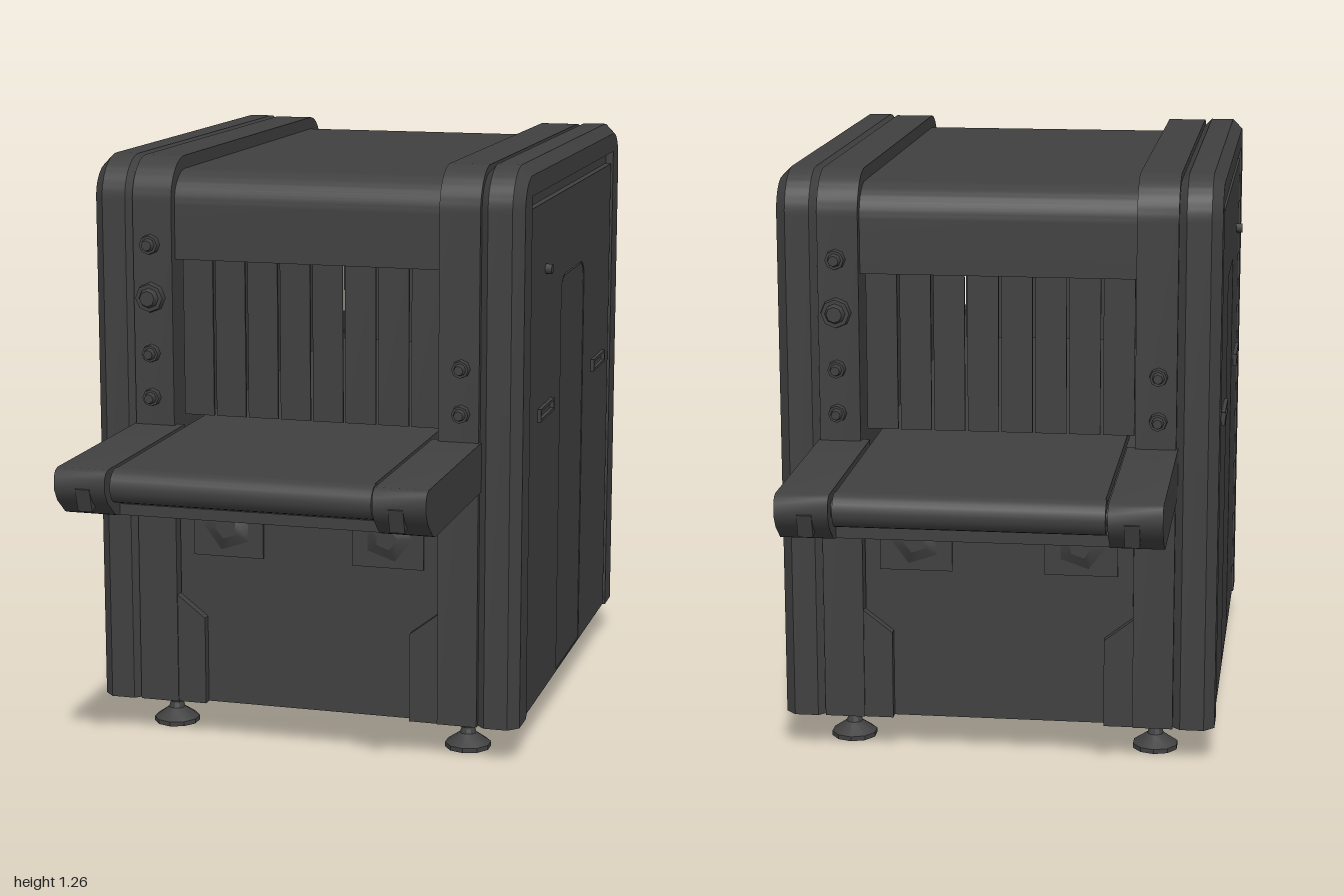
import * as THREE from 'three';
import { toCreasedNormals } from 'three/addons/utils/BufferGeometryUtils.js';

const dark = new THREE.MeshStandardMaterial({ color: 0x404040 });

function add(parent, name, geometry, x = 0, y = 0, z = 0) {
  const mesh = new THREE.Mesh(geometry, dark);
  mesh.name = name;
  mesh.position.set(x, y, z);
  parent.add(mesh);
  return mesh;
}

// Box given by its extents on each axis
function box(parent, name, [x0, x1], [y0, y1], [z0, z1]) {
  return add(parent, name, new THREE.BoxGeometry(x1 - x0, y1 - y0, z1 - z0),
    (x0 + x1) / 2, (y0 + y1) / 2, (z0 + z1) / 2);
}

const polygon = (points) => new THREE.Shape(points.map(([a, b]) => new THREE.Vector2(a, b)));

// Shape in (z, y) extruded along x from x0 to x1, with an optional chamfer
function extrudeX(shape, x0, x1, bevel = 0) {
  const g = new THREE.ExtrudeGeometry(shape, {
    depth: x1 - x0 - 2 * bevel, curveSegments: 8, bevelEnabled: bevel > 0,
    bevelSize: bevel, bevelThickness: bevel, bevelOffset: -bevel, bevelSegments: 1,
  });
  g.rotateY(-Math.PI / 2).translate(x1 - bevel, 0, 0);
  return g;
}

// Outline with rounded upper corners
function roundedTop(z0, z1, y0, y1, r, C = THREE.Shape) {
  const s = new C();
  s.moveTo(z0, y0);
  s.lineTo(z1, y0);
  s.lineTo(z1, y1 - r);
  s.absarc(z1 - r, y1 - r, r, 0, Math.PI / 2);
  s.lineTo(z0 + r, y1);
  s.absarc(z0 + r, y1 - r, r, Math.PI / 2, Math.PI);
  s.closePath();
  return s;
}

// Chamfered arch around the side panel; the inner and bottom edges stay square
function archGeometry() {
  const s = new THREE.Shape();
  s.moveTo(0.46, 0.08);
  s.lineTo(0.55, 0.08);
  s.lineTo(0.55, 1.175);
  s.absarc(0.46, 1.175, 0.09, 0, Math.PI / 2);
  s.lineTo(-0.46, 1.265);
  s.absarc(-0.46, 1.175, 0.09, Math.PI / 2, Math.PI);
  s.lineTo(-0.55, 0.08);
  s.lineTo(-0.46, 0.08);
  s.lineTo(-0.46, 1.2);
  s.lineTo(0.46, 1.2);
  s.closePath();
  const g = extrudeX(s, 0.37, 0.465, 0.022);
  const p = g.attributes.position;
  for (let i = 0; i < p.count; i++) {
    const y = p.getY(i), z = p.getZ(i);
    if (Math.abs(z) < 0.5 && y < 1.23) {
      p.setZ(i, Math.sign(z) * 0.46);
      if (y > 1) p.setY(i, 1.2);
    }
    if (y < 0.12) p.setY(i, 0.08);
  }
  g.deleteAttribute('normal');
  g.computeVertexNormals();
  return toCreasedNormals(g, 0.5);
}

function button(parent, x, y, z, r) {
  const dir = Math.sign(z);
  const ring = new THREE.CylinderGeometry(r, r * 1.1, 0.016, 8).rotateX(dir * Math.PI / 2);
  const cap = new THREE.CylinderGeometry(r * 0.55, r * 0.75, 0.014, 8).rotateX(dir * Math.PI / 2);
  add(parent, 'buttonRing', ring, x, y, z + dir * 0.006);
  add(parent, 'buttonCap', cap, x, y, z + dir * 0.019);
}

// Everything on the +x side of the cabinet
function createSide() {
  const side = new THREE.Group();
  side.name = 'cabinetSide';
  add(side, 'outerArch', archGeometry());
  add(side, 'innerBand', toCreasedNormals(extrudeX(roundedTop(-0.548, 0.548, 0.08, 1.263, 0.09), 0.29, 0.376), 0.5));
  box(side, 'sideCore', [0.37, 0.448], [0.08, 1.21], [-0.465, 0.465]);

  // Side panel with a narrow service door set into it
  const panel = polygon([[-0.447, 0.085], [0.452, 0.085], [0.452, 1.172], [-0.447, 1.172]]);
  panel.holes.push(roundedTop(-0.13, 0.13, 0.09, 0.987, 0.04, THREE.Path));
  add(side, 'sidePanel', extrudeX(panel, 0.44, 0.462));
  add(side, 'serviceDoor', extrudeX(roundedTop(-0.126, 0.126, 0.085, 0.983, 0.037), 0.44, 0.461));

  for (const s of [-1, 1]) {
    // Flush handle: four rails round a dark slot
    const zc = s * 0.3;
    for (const dy of [-0.011, 0.011])
      box(side, 'handleRail', [0.455, 0.47], [0.722 + dy - 0.003, 0.722 + dy + 0.003], [zc - 0.07, zc + 0.07]);
    for (const dz of [-0.067, 0.067])
      box(side, 'handleEnd', [0.455, 0.47], [0.711, 0.733], [zc + dz - 0.003, zc + dz + 0.003]);

    // Levelling foot
    const profile = [[0, 0], [0.05, 0], [0.05, 0.01], [0.018, 0.032], [0.014, 0.045], [0.028, 0.08], [0, 0.08]];
    const foot = new THREE.LatheGeometry(profile.map(([a, b]) => new THREE.Vector2(a, b)), 10);
    add(side, 'levellingFoot', toCreasedNormals(foot, 0.4), 0.333, 0, s * 0.44);

    // Flared lower corner of the end face
    const flare = polygon([[0.22, 0.08], [0.3, 0.08], [0.3, 0.328], [0.29, 0.32], [0.228, 0.272], [0.228, 0.08]].slice(1));
    const g = new THREE.ExtrudeGeometry(flare, { depth: 0.05, bevelEnabled: false });
    add(side, 'lowerCorner', g, 0, 0, s > 0 ? 0.495 : -0.545);
  }

  // Controls: two on one end, four on the other
  for (const y of [0.755, 0.85]) {
    button(side, 0.338, y, 0.548, 0.018);
    button(side, 0.338, y, -0.548, 0.018);
  }
  button(side, 0.338, 0.97, -0.548, 0.03);
  button(side, 0.338, 1.083, -0.548, 0.02);
  return side;
}

// Conveyor end and tunnel mouth on the +z end
function createEnd() {
  const end = new THREE.Group();
  end.name = 'conveyorEnd';
  const rail = polygon([[0.53, 0.59], [0.925, 0.59], [0.945, 0.596], [0.985, 0.628], [1, 0.652],
    [1, 0.678], [0.993, 0.69], [0.98, 0.695], [0.53, 0.695]]);
  for (const s of [-1, 1]) {
    const [a, b] = s > 0 ? [0.273, 0.38] : [-0.38, -0.273];
    add(end, 'conveyorRail', toCreasedNormals(extrudeX(rail, a, b), 0.7));
    box(end, 'railEndPlate', [s * 0.32 - 0.015, s * 0.32 + 0.015], [0.612, 0.662], [0.97, 0.996]).rotation.x = 0.3;
    add(end, 'rollerAxle', new THREE.CylinderGeometry(0.018, 0.018, 0.03, 12).rotateZ(Math.PI / 2), s * 0.275, 0.66, 0.953);

    // Square end panel plate with a shallow five-sided knob
    const x = s * 0.177;
    box(end, 'socketPlate', [x - 0.078, x + 0.078], [0.41, 0.543], [0.52, 0.531]);
    const knob = new THREE.CylinderGeometry(0.025, 0.06, 0.018, 5).rotateX(Math.PI / 2);
    const mesh = add(end, 'socketKnob', knob, x, 0.477, 0.537);
    mesh.rotation.z = s * 0.3;
  }
  add(end, 'endRoller', new THREE.CylinderGeometry(0.035, 0.035, 0.535, 24).rotateZ(Math.PI / 2), 0, 0.659, 0.953);
  box(end, 'conveyorUnderside', [-0.275, 0.275], [0.59, 0.613], [0.53, 0.92]);

  // Curtain strips
  for (let i = 0; i < 8; i++) {
    const x = (i - 3.5) * 0.0718;
    box(end, 'curtainStrip', [x - 0.033, x + 0.033], [0.71, 1.06], [0.488, 0.494]);
  }
  return end;
}

export function createModel() {
  const model = new THREE.Group();
  model.name = 'baggageScanner';

  for (const turn of [0, Math.PI]) {
    const side = createSide(), end = createEnd();
    side.rotation.y = end.rotation.y = turn;
    model.add(side, end);
  }

  // Central cabinet: base below the tunnel, hood above it, belt through it
  box(model, 'cabinetBase', [-0.288, 0.288], [0.08, 0.58], [-0.525, 0.525]);
  add(model, 'hood', toCreasedNormals(extrudeX(roundedTop(-0.527, 0.527, 1.05, 1.235, 0.07), -0.292, 0.292), 0.5));
  box(model, 'belt', [-0.265, 0.265], [0.674, 0.694], [-0.953, 0.953]);

  // Key locks, both toward the front
  for (const s of [-1, 1])
    add(model, 'keyLock', new THREE.CylinderGeometry(0.011, 0.011, 0.02, 8).rotateZ(Math.PI / 2), s * 0.466, 1.027, 0.3);
  return model;
}
